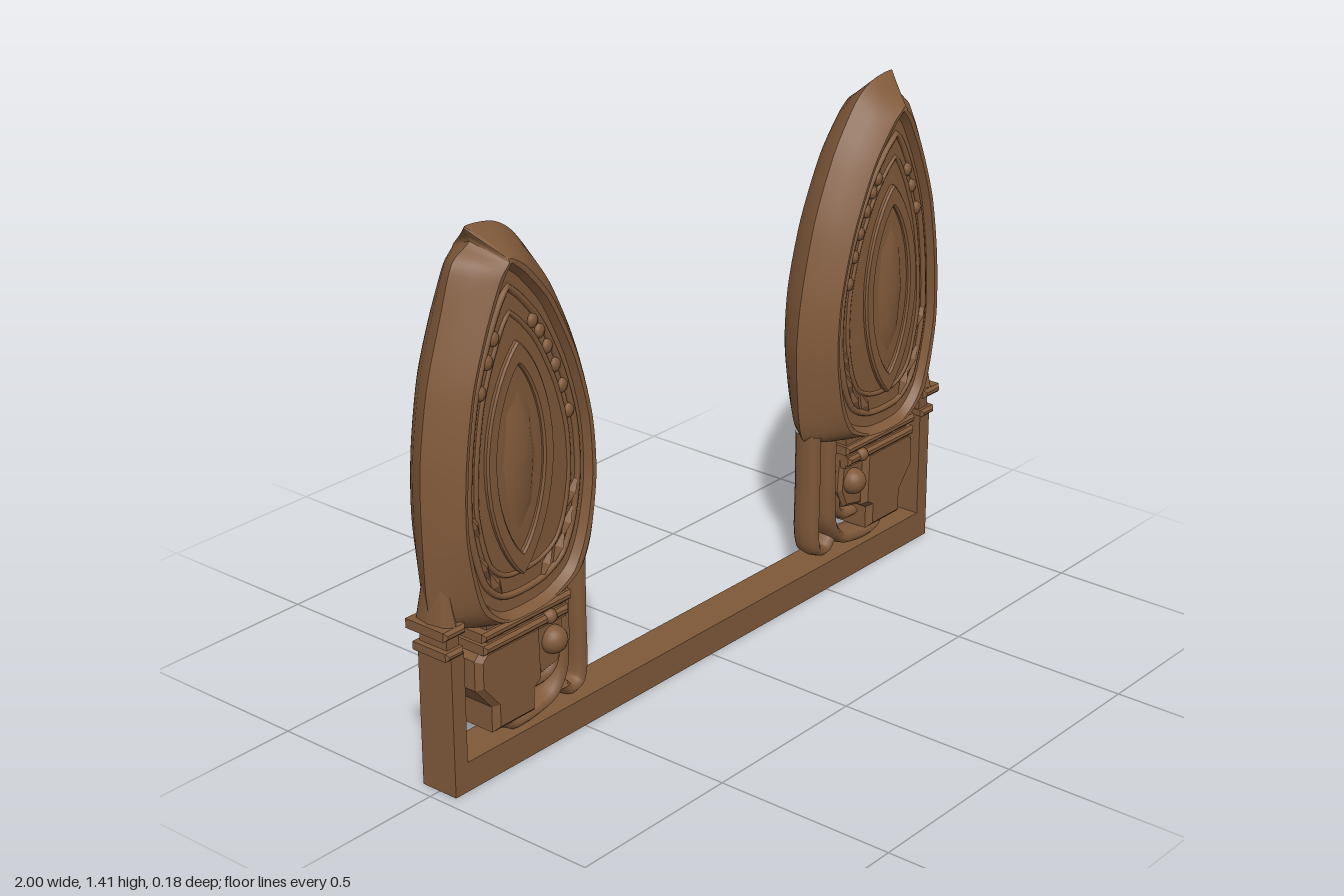
import * as THREE from 'three';
import { toCreasedNormals } from 'three/addons/utils/BufferGeometryUtils.js';

const V = (x, y, z = 0) => new THREE.Vector3(x, y, z);
const curve = (pts, closed = false) =>
  new THREE.CatmullRomCurve3(pts.map(p => V(...p)), closed, 'centripetal');

// Matching control points, counter-clockwise from the tip
const outer = [[0.82, 1.405], [0.73, 1.395], [0.66, 1.35], [0.57, 1.23], [0.49, 1.06], [0.437, 0.86],
  [0.42, 0.70], [0.437, 0.50], [0.47, 0.435], [0.60, 0.41], [0.74, 0.40], [0.88, 0.41], [0.975, 0.46],
  [0.992, 0.66], [0.99, 0.86], [0.96, 1.045], [0.91, 1.20], [0.865, 1.325], [0.805, 1.365]];
const inner = [[0.757, 1.32], [0.745, 1.31], [0.71, 1.28], [0.635, 1.19], [0.555, 1.03], [0.505, 0.86],
  [0.495, 0.70], [0.52, 0.56], [0.565, 0.47], [0.64, 0.43], [0.72, 0.42], [0.81, 0.43], [0.88, 0.50],
  [0.925, 0.68], [0.92, 0.86], [0.89, 1.04], [0.84, 1.18], [0.79, 1.28], [0.765, 1.313]];

// Point on the pod: u goes round, w = 0 at the outer edge, 1 at the panel edge
const N = 95;
const lerpOutline = (u, w) => {
  const f = (u % 1) * outer.length, i = Math.floor(f), n = outer.length;
  const at = (list, k) => V(...list[(k + n) % n]);
  const spline = list => {
    const [a, b, c, d] = [-1, 0, 1, 2].map(k => at(list, i + k));
    const t = f - i, r = V(0, 0);
    for (const ax of ['x', 'y']) {
      const m0 = (c[ax] - a[ax]) * 0.4, m1 = (d[ax] - b[ax]) * 0.4;
      r[ax] = b[ax] * (2 * t ** 3 - 3 * t ** 2 + 1) + m0 * (t ** 3 - 2 * t ** 2 + t)
        + c[ax] * (3 * t ** 2 - 2 * t ** 3) + m1 * (t ** 3 - t ** 2);
    }
    return r;
  };
  return spline(outer).lerp(spline(inner), w);
};
const taper = y => Math.sqrt(THREE.MathUtils.clamp((1.415 - y) / 0.09, 0.02, 1));
const centre = V(0.735, 0.83);
const panelPoint = (u, s, z) => {
  const p = lerpOutline(u, 1).sub(centre).multiplyScalar(s).add(centre);
  p.z = z;
  return p;
};

// Skin between successive loops of equal length
function loft(rings) {
  const n = rings[0].length, pos = [], idx = [];
  rings.forEach(r => r.forEach(p => pos.push(p.x, p.y, p.z)));
  for (let r = 0; r < rings.length - 1; r++) {
    for (let i = 0; i < n; i++) {
      const a = r * n + i, b = r * n + (i + 1) % n;
      idx.push(a, b, b + n, a, b + n, a + n);
    }
  }
  const g = new THREE.BufferGeometry();
  g.setAttribute('position', new THREE.Float32BufferAttribute(pos, 3));
  g.setIndex(idx);
  return toCreasedNormals(g, 0.6);
}

// Reflected copy with the corner order restored
function mirrored(geo, sx, sz) {
  const g = geo.index ? geo.toNonIndexed() : geo.clone();
  g.scale(sx, 1, sz);
  if (sx * sz > 0) return g;
  for (const name of ['position', 'normal']) {
    const a = g.attributes[name].array;
    for (let i = 0; i < a.length; i += 9) {
      for (let k = 0; k < 3; k++) [a[i + k], a[i + 6 + k]] = [a[i + 6 + k], a[i + k]];
    }
  }
  g.deleteAttribute('uv');
  return g;
}

function extrude(pts, depth, bevel, holes = []) {
  const shape = new THREE.Shape(pts.map(p => new THREE.Vector2(p[0], p[1])));
  holes.forEach(h => shape.holes.push(new THREE.Path(h.map(p => new THREE.Vector2(p[0], p[1])))));
  return new THREE.ExtrudeGeometry(shape, { depth, bevelEnabled: bevel > 0, bevelSize: bevel,
    bevelThickness: bevel, bevelOffset: -bevel, bevelSegments: 1 });
}

// Pointed oval outline
const almond = (cx, cy, w, h) => Array.from({ length: 40 }, (_, i) => {
  const a = i / 40 * Math.PI * 2, c = Math.cos(a);
  return [cx + w * Math.sign(c) * Math.abs(c) ** 1.6, cy + h * Math.sin(a)];
});

export function createModel() {
  const model = new THREE.Group();
  const bronze = new THREE.MeshStandardMaterial({ color: 0x80593a });
  bronze.name = 'bronze brown';
  const pods = { 1: new THREE.Group(), '-1': new THREE.Group() };
  pods[1].name = 'leftPod';
  pods[-1].name = 'rightPod';
  model.add(pods[1], pods[-1]);

  // Adds a part to both pods, and to the back too when twoFaced
  const add = (name, geo, twoFaced = false) => {
    for (const sx of [1, -1]) for (const sz of twoFaced ? [1, -1] : [1]) {
      const m = new THREE.Mesh(mirrored(geo, sx, sz), bronze);
      m.name = name;
      pods[sx].add(m);
    }
  };
  const box = (x, y, z, w, h, d) => new THREE.BoxGeometry(w, h, d).translate(x, y, z);
  const tube = (pts, r, closed = false) =>
    new THREE.TubeGeometry(curve(pts, closed), closed ? 90 : 40, r, 8, closed);

  // Bevelled rim around the pod
  const ring = fn => Array.from({ length: N }, (_, i) => fn(i / N));
  const rim = [[0, 0], [0.3, 0.045], [0.68, 0.078], [0.85, 0.09], [1, 0.088]].map(([w, z]) => ring(u => {
    const p = lerpOutline(u, w);
    p.z = z * taper(p.y);
    return p;
  }));
  add('podRim', loft(rim), true);

  // Recessed, slightly domed panel
  const panel = [[1, 0.088], [0.965, 0.066], [0.9, 0.064], [0.6, 0.068], [0.3, 0.072], [0.001, 0.073]]
    .map(([s, z]) => ring(u => {
      const p = panelPoint(u, s, z);
      p.z *= taper(p.y);
      return p;
    }));
  add('panel', loft(panel), true);

  // Carved lines following the panel edge
  for (const [s, r] of [[0.87, 0.009], [0.74, 0.007]]) {
    const pts = Array.from({ length: 48 }, (_, i) => panelPoint(i / 48, s, 0.065).toArray());
    add('carvedLine', tube(pts, r, true), true);
  }

  // Pointed oval frame and faceted stone
  add('ovalFrame', extrude(almond(0.735, 0.82, 0.115, 0.3), 0.012, 0.005,
    [almond(0.735, 0.82, 0.08, 0.24)]).translate(0, 0, 0.064), true);
  const stone = [[1, 0.068], [0.6, 0.084], [0.001, 0.089]].map(([s, z]) =>
    Array.from({ length: 8 }, (_, i) => {
      const a = i / 8 * Math.PI * 2;
      return V(0.735 + 0.06 * s * Math.cos(a), 0.82 + 0.19 * s * Math.sin(a), z);
    }));
  add('stone', loft(stone), true);

  // Beads along the upper panel, leaves along the lower panel
  for (const u of [0.14, 0.16, 0.18, 0.2, 0.225, 0.25, 0.8, 0.83, 0.86]) {
    const p = panelPoint(u, 0.81, 0.068);
    add('bead', new THREE.SphereGeometry(0.016, 10, 6).scale(1, 1.2, 0.7).translate(p.x, p.y, p.z), true);
  }
  for (const u of [0.34, 0.38, 0.42, 0.46, 0.6, 0.64, 0.68]) {
    const p = panelPoint(u, 0.81, 0.066);
    const lean = u < 0.5 ? 0.5 : -0.5;
    add('leaf', new THREE.OctahedronGeometry(1).scale(0.016, 0.05, 0.014).rotateZ(lean)
      .translate(p.x, p.y, p.z), true);
  }

  // Neck collars under the pod
  const collar = (x0, x1, y, h, d) => extrude([[x0, y], [x1, y], [x1, y + h], [x0, y + h]], d * 2 - 0.016, 0.008)
    .translate(0, 0, 0.008 - d);
  add('neck', box(0.71, 0.39, 0, 0.28, 0.10, 0.12));
  add('neckCollar', collar(0.56, 0.875, 0.385, 0.025, 0.075));
  add('neckCollar', collar(0.57, 0.87, 0.35, 0.025, 0.075));

  // Angular cup below the neck
  add('cup', extrude([[0.66, 0.36], [0.655, 0.2], [0.68, 0.185], [0.68, 0.12], [0.83, 0.12], [0.83, 0.19],
    [0.885, 0.255], [0.885, 0.335], [0.86, 0.36]], 0.10, 0.015).translate(0, 0, -0.05));

  // Bracket with a ball on each face
  add('bracket', extrude([[0.57, 0.37], [0.56, 0.27], [0.585, 0.215], [0.66, 0.2], [0.69, 0.37]], 0.08, 0.01)
    .translate(0, 0, -0.04));
  add('ball', new THREE.SphereGeometry(0.037, 20, 12).translate(0.612, 0.29, 0.055), true);
  add('smallBall', new THREE.SphereGeometry(0.02, 12, 8).translate(0.635, 0.365, 0.065), true);

  // Looped pipes, deeper than wide
  const pipe = (pts, r) => tube(pts, r).scale(1, 1, 2.3);
  add('pipe', pipe([[0.478, 0.46], [0.478, 0.3], [0.478, 0.15], [0.49, 0.115], [0.525, 0.105], [0.55, 0.13]], 0.019));
  add('pipe', pipe([[0.545, 0.43], [0.545, 0.25], [0.555, 0.17], [0.59, 0.12], [0.64, 0.103], [0.74, 0.1],
    [0.765, 0.125]], 0.02));
  add('pipe', pipe([[0.575, 0.33], [0.572, 0.25], [0.58, 0.205], [0.61, 0.18], [0.66, 0.175]], 0.017));

  // Side posts with collars
  add('post', box(0.945, 0.19, 0, 0.044, 0.38, 0.11));
  add('postNeck', box(0.95, 0.415, 0, 0.04, 0.08, 0.09));
  add('postCollar', collar(0.925, 0.985, 0.375, 0.022, 0.062));
  add('postCollar', collar(0.925, 0.998, 0.435, 0.025, 0.07));
  add('postSpike', new THREE.CylinderGeometry(0.004, 0.034, 0.26, 8).scale(0.9, 1, 2).translate(0.957, 0.575, 0));

  // Base bar
  const bar = new THREE.Mesh(box(0, 0.04, 0, 1.934, 0.08, 0.11), bronze);
  bar.name = 'baseBar';
  model.add(bar);
  return model;
}
